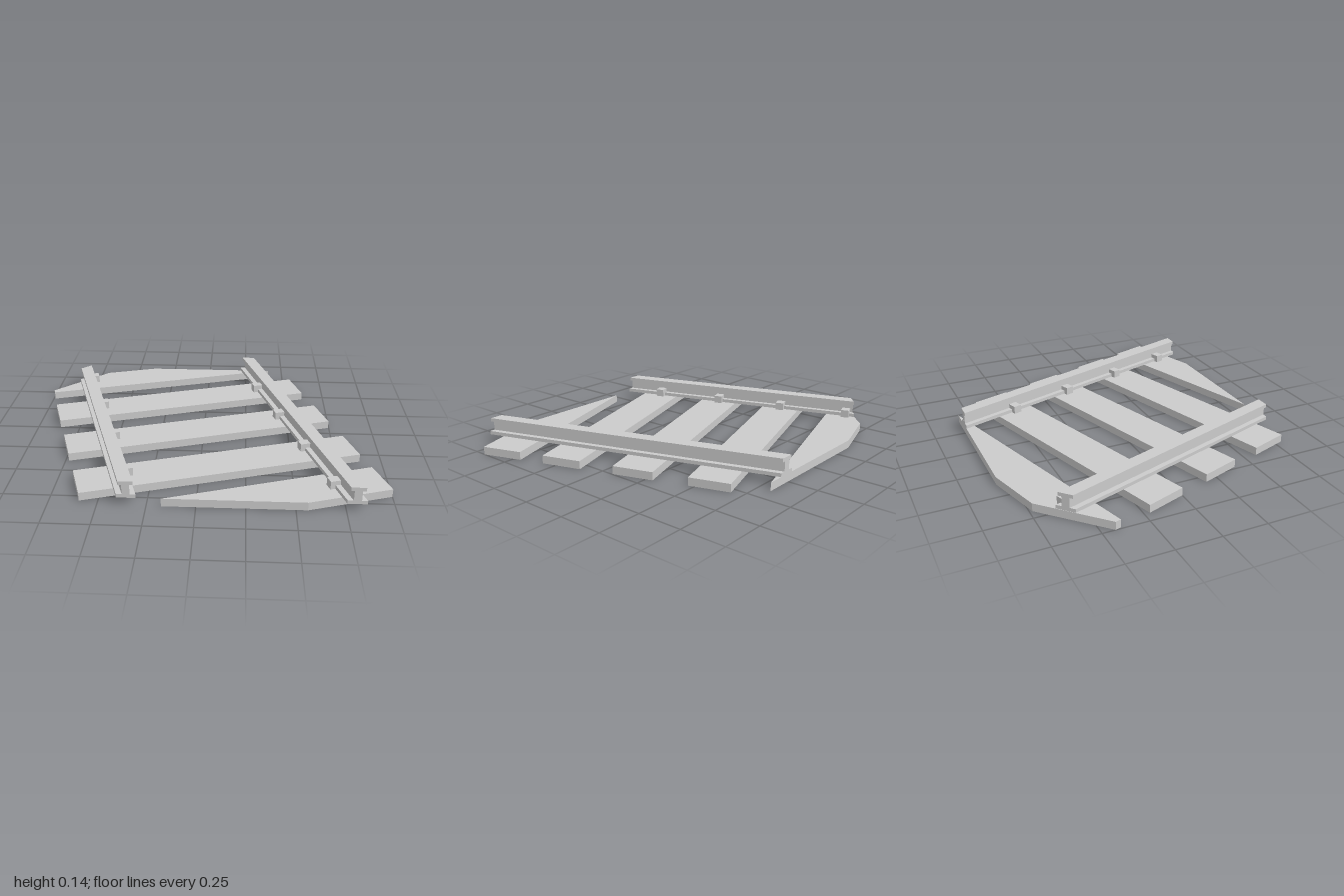
import * as THREE from 'three';

const TIE_H = 0.045;
const SLOPE = 0.325;              // sideways drift of the rails per unit of z
const END = 0.825;                // half length of the track piece

const grey = new THREE.MeshStandardMaterial({ color: 0xcccccc, flatShading: true });

const outline = (pts) => new THREE.Shape(pts.map(([x, y]) => new THREE.Vector2(x, y)));

// Flat plank from a plan outline given as [x, z]
function plank(name, pts) {
  const geo = new THREE.ExtrudeGeometry(outline(pts.map(([x, z]) => [x, -z])), { depth: TIE_H, bevelEnabled: false });
  geo.rotateX(-Math.PI / 2);
  const mesh = new THREE.Mesh(geo, grey);
  mesh.name = name;
  return mesh;
}

// I-section rail; backEnd(x0) gives the z where the line x = x0 + SLOPE * z is cut off
function rail(name, centre, backEnd) {
  const half = [[0.05, 0.045], [0.05, 0.065], [0.02, 0.065], [0.02, 0.12], [0.038, 0.12], [0.038, 0.14]];
  const section = [...half, ...half.map(([x, y]) => [-x, y]).reverse()];
  const geo = new THREE.ExtrudeGeometry(outline(section), { depth: 1, bevelEnabled: false });
  const p = geo.attributes.position;
  for (let i = 0; i < p.count; i++) {
    const x0 = centre + p.getX(i);
    const z = THREE.MathUtils.lerp(backEnd(x0), END, p.getZ(i));
    p.setXYZ(i, x0 + SLOPE * z, p.getY(i), z);
  }
  geo.computeVertexNormals();
  const mesh = new THREE.Mesh(geo, grey);
  mesh.name = name;
  return mesh;
}

// Hooked clip gripping the inner edge of a rail foot
const clipGeo = new THREE.ExtrudeGeometry(
  outline([[0.048, 0.045], [0.075, 0.045], [0.075, 0.09], [0.02, 0.09], [0.02, 0.065], [0.048, 0.065]]),
  { depth: 0.048, bevelEnabled: false });
clipGeo.translate(0, 0, -0.024);

function clips(name, centre, firstZ, step, turn) {
  const group = new THREE.Group();
  group.name = name;
  for (let i = 0; i < 4; i++) {
    const z = firstZ + i * step;
    const clip = new THREE.Mesh(clipGeo, grey);
    clip.name = 'railClip';
    clip.position.set(centre + SLOPE * z, 0, z);
    clip.rotation.y = Math.atan(SLOPE) + turn;
    group.add(clip);
  }
  return group;
}

export function createModel() {
  const track = new THREE.Group();
  track.name = 'trackSection';

  // Three whole ties
  for (let i = 0; i < 3; i++) {
    const x = 0.134 * i, z = 0.397 * i;
    track.add(plank('tie', [[-0.865, 0], [0.612, -0.468], [0.542, -0.684], [-0.938, -0.22]]
      .map(([a, b]) => [a + x, b + z])));
  }
  // End ties, trimmed by the edge of the section
  track.add(plank('backTie', [[-0.99, -0.4], [0.405, -END], [-0.38, -END], [-0.69, -0.735], [-1, -0.43]]));
  track.add(plank('frontTie', [[-0.175, END], [0.56, END], [1, 0.68], [0.925, 0.46]]));

  // Rails: the right one is cut along the slanted back corner
  const rightX = -0.618, leftX = 0.532;
  track.add(rail('rightRail', rightX, (x0) => (-1.398 - 0.968 * x0) / (1 + 0.968 * SLOPE)));
  track.add(rail('leftRail', leftX, () => -END));

  track.add(clips('rightRailClips', rightX, -0.58, 0.396, 0));
  track.add(clips('leftRailClips', leftX, -0.51, 0.387, Math.PI));
  return track;
}
